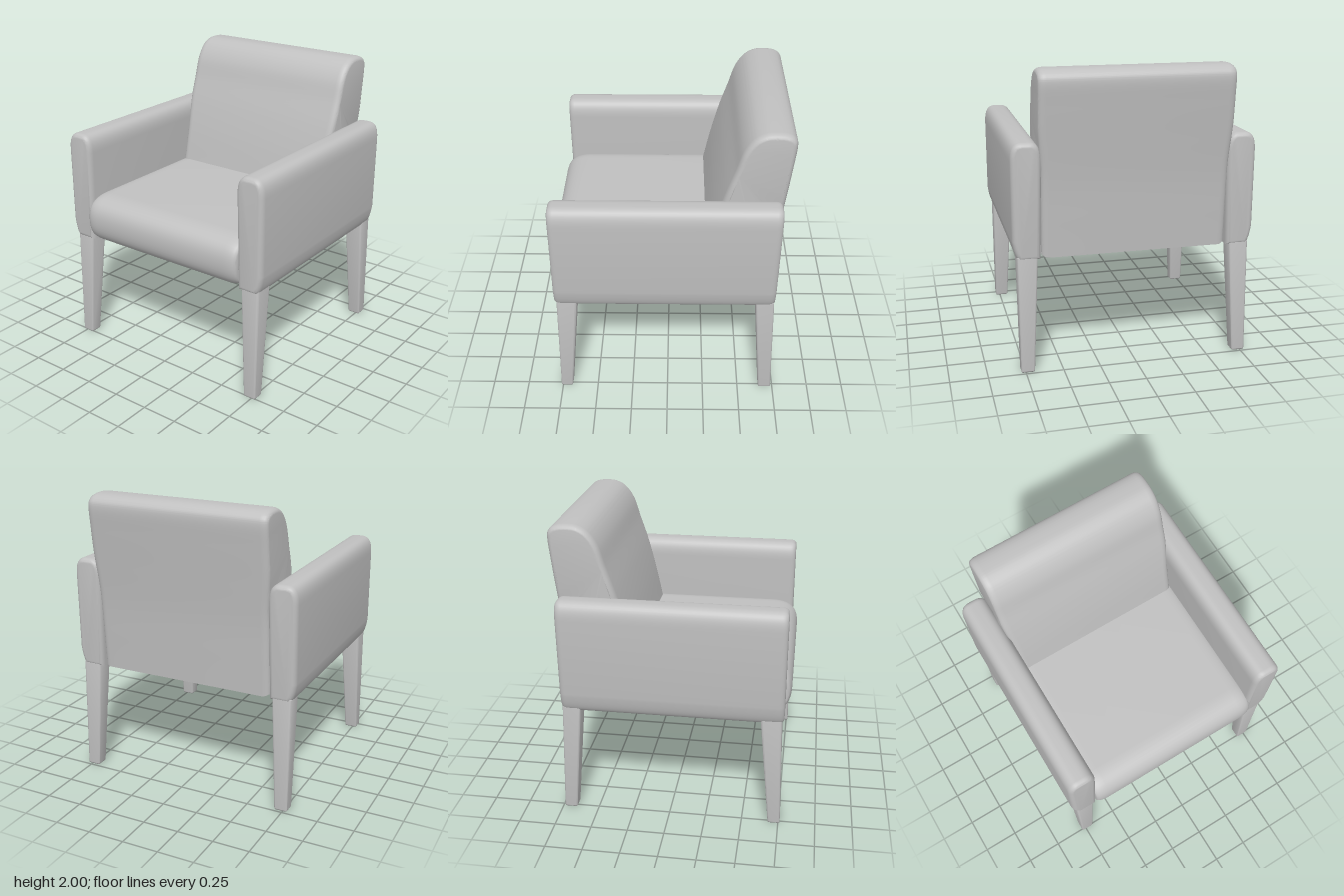
import * as THREE from 'three';
import { toCreasedNormals } from 'three/addons/utils/BufferGeometryUtils.js';
import { RoundedBoxGeometry } from 'three/addons/geometries/RoundedBoxGeometry.js';

const upholstery = new THREE.MeshStandardMaterial({ color: 0xc0c0c0 });
upholstery.name = 'grey upholstery';

// Extrude a cross-section to a total length, with soft ends inside the outline
function softExtrude(shape, length, size, thickness) {
  const geo = new THREE.ExtrudeGeometry(shape, {
    depth: length - 2 * thickness, curveSegments: 10, bevelEnabled: true, bevelSegments: 5,
    bevelSize: size, bevelOffset: -size, bevelThickness: thickness,
  });
  return geo.translate(0, 0, -length / 2 + thickness);
}

// Move every vertex by a rule
function deform(geo, rule) {
  const p = geo.attributes.position;
  const v = new THREE.Vector3();
  for (let i = 0; i < p.count; i++) {
    rule(v.fromBufferAttribute(p, i));
    p.setXYZ(i, v.x, v.y, v.z);
  }
  return geo;
}

function part(name, geo, crease = 0.7) {
  const mesh = new THREE.Mesh(toCreasedNormals(geo, crease), upholstery);
  mesh.name = name;
  return mesh;
}

// Armrest panel: rounded top, softly tucked bottom, section drawn in x and y
function armrest(side) {
  const s = new THREE.Shape();
  s.moveTo(-0.085, 0.77);
  s.lineTo(0.055, 0.77);
  s.quadraticCurveTo(0.083, 0.79, 0.098, 0.9);
  s.lineTo(0.098, 1.42);
  s.bezierCurveTo(0.098, 1.51, 0.07, 1.542, 0.02, 1.542);
  s.lineTo(-0.02, 1.542);
  s.bezierCurveTo(-0.07, 1.542, -0.1, 1.51, -0.1, 1.42);
  s.lineTo(-0.085, 0.77);
  const geo = softExtrude(s, 1.485, 0.03, 0.04);
  deform(geo, (v) => {
    if (v.z < -0.5) v.z -= 0.015 * (v.y - 1.1);
    v.x = side * (v.x + 0.716);
    v.z += 0.017;
  });
  // Mirroring reverses the corner order, so swap it back
  if (side < 0) {
    const p = geo.attributes.position;
    const a = new THREE.Vector3(), b = new THREE.Vector3();
    for (let i = 0; i < p.count; i += 3) {
      a.fromBufferAttribute(p, i);
      b.fromBufferAttribute(p, i + 1);
      p.setXYZ(i, b.x, b.y, b.z);
      p.setXYZ(i + 1, a.x, a.y, a.z);
    }
  }
  return part(side > 0 ? 'leftArmrest' : 'rightArmrest', geo);
}

// Seat cushion with a full rounded front, section drawn in z and y
function seat() {
  const s = new THREE.Shape();
  s.moveTo(-0.66, 0.78);
  s.lineTo(0.68, 0.78);
  s.bezierCurveTo(0.76, 0.78, 0.797, 0.84, 0.797, 0.94);
  s.bezierCurveTo(0.797, 1.05, 0.74, 1.098, 0.62, 1.105);
  s.lineTo(-0.66, 1.105);
  s.closePath();
  return part('seat', softExtrude(s, 1.27, 0.025, 0.09).rotateY(-Math.PI / 2));
}

// Leaning backrest, reaching down between the armrests to the seat base
function backrest() {
  const s = new THREE.Shape();
  s.moveTo(-0.695, 0.775);
  s.lineTo(-0.4, 0.79);
  s.lineTo(-0.25, 1.06);
  s.splineThru([[-0.262, 1.12], [-0.31, 1.34], [-0.365, 1.54], [-0.425, 1.72], [-0.47, 1.86],
    [-0.53, 1.95], [-0.6, 1.992], [-0.67, 2.0], [-0.74, 1.992], [-0.785, 1.965], [-0.8, 1.91],
    [-0.785, 1.76], [-0.757, 1.52], [-0.728, 1.25], [-0.71, 1.0], [-0.695, 0.775],
  ].map(([z, y]) => new THREE.Vector2(z, y)));
  const geo = softExtrude(s, 1.28, 0.03, 0.05).rotateY(-Math.PI / 2);
  deform(geo, (v) => {
    v.x *= 0.97 + 0.03 * THREE.MathUtils.smoothstep(v.y, 1.3, 1.65);
  });
  return part('backrest', geo);
}

// Tapered leg; each range is [inner, outer] distance from the centre
function leg(name, sx, sz, top, foot) {
  const geo = new RoundedBoxGeometry(1, 1, 1, 3, 0.12);
  const lerp = THREE.MathUtils.lerp;
  deform(geo, (v) => {
    // Keep the rounding at the ends short despite the leg's length
    const end = Math.max(0, Math.abs(v.y) - 0.38) / 0.12;
    const y = Math.sign(v.y) * (0.485 + 0.015 * end);
    const t = y + 0.5;
    const at = (k, f) => lerp(lerp(foot[k][0], top[k][0], t), lerp(foot[k][1], top[k][1], t), f + 0.5);
    v.set(sx * at(0, sx * v.x), t * 0.8, sz * at(1, sz * v.z));
  });
  return part(name, geo);
}

export function createModel() {
  const chair = new THREE.Group();
  chair.name = 'armchair';
  chair.add(seat(), backrest());
  for (const side of [1, -1]) {
    const label = side > 0 ? 'Left' : 'Right';
    chair.add(
      armrest(side),
      leg('front' + label + 'Leg', side, 1, [[0.65, 0.785], [0.605, 0.745]], [[0.69, 0.78], [0.68, 0.762]]),
      leg('back' + label + 'Leg', side, -1, [[0.65, 0.785], [0.59, 0.715]], [[0.69, 0.78], [0.65, 0.738]]),
    );
  }
  return chair;
}
